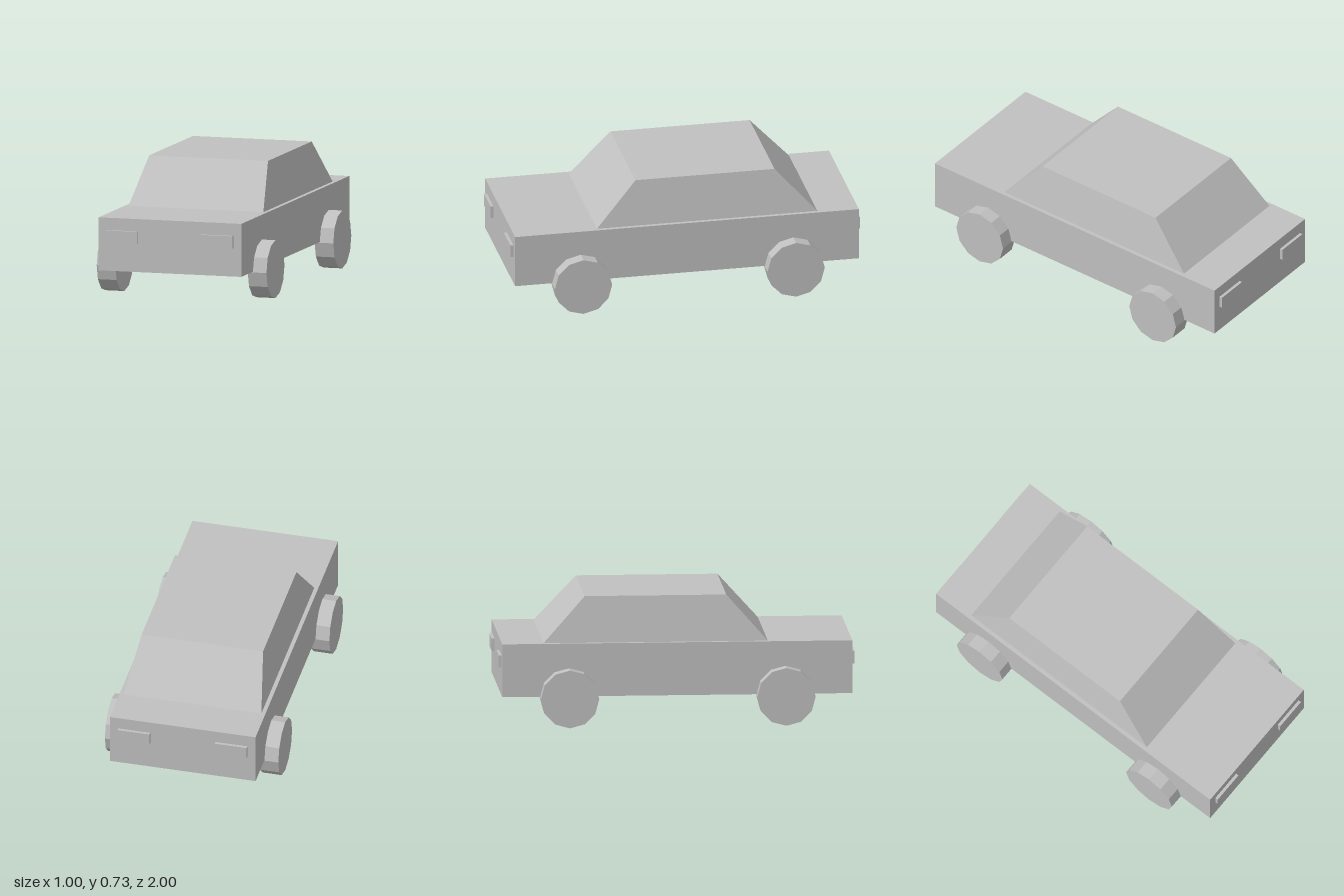
import * as THREE from 'three';

const grey = new THREE.MeshStandardMaterial({ color: 0xc0c0c0 });
grey.name = 'light grey';

function addMesh(parent, name, geometry, x, y, z) {
  const mesh = new THREE.Mesh(geometry, grey);
  mesh.name = name;
  mesh.position.set(x, y, z);
  parent.add(mesh);
  return mesh;
}

// Box whose top face is narrower than its base, for the sloped cabin
function cabinGeometry() {
  const bottom = { x: 0.397, y: 0.468, front: 0.51, back: -0.75 };
  const top = { x: 0.35, y: 0.725, front: 0.28, back: -0.515 };
  const geometry = new THREE.BoxGeometry(1, 1, 1);
  const p = geometry.attributes.position;
  for (let i = 0; i < p.count; i++) {
    const level = p.getY(i) > 0 ? top : bottom;
    p.setXYZ(i, Math.sign(p.getX(i)) * level.x, level.y, p.getZ(i) > 0 ? level.front : level.back);
  }
  geometry.computeVertexNormals();
  return geometry;
}

export function createModel() {
  const car = new THREE.Group();
  car.name = 'car';

  // Body and cabin
  addMesh(car, 'body', new THREE.BoxGeometry(0.84, 0.3, 1.966), 0, 0.318, 0);
  addMesh(car, 'cabin', cabinGeometry(), 0, 0, 0);

  // Twelve-sided wheels with a corner at the top
  const wheel = new THREE.CylinderGeometry(0.164, 0.164, 0.11, 12).toNonIndexed();
  wheel.rotateZ(Math.PI / 2);
  wheel.computeVertexNormals();

  // Lamps stand slightly proud of both ends
  const lamp = new THREE.BoxGeometry(0.186, 0.07, 0.03);

  for (const [side, x] of [['left', 1], ['right', -1]]) {
    for (const [end, z] of [['front', 1], ['rear', -1]]) {
      addMesh(car, `${end} ${side} wheel`, wheel, x * 0.445, 0.164, z * 0.608);
      addMesh(car, `${end} ${side} lamp`, lamp, x * 0.28, 0.363, z * 0.985);
    }
  }
  return car;
}
